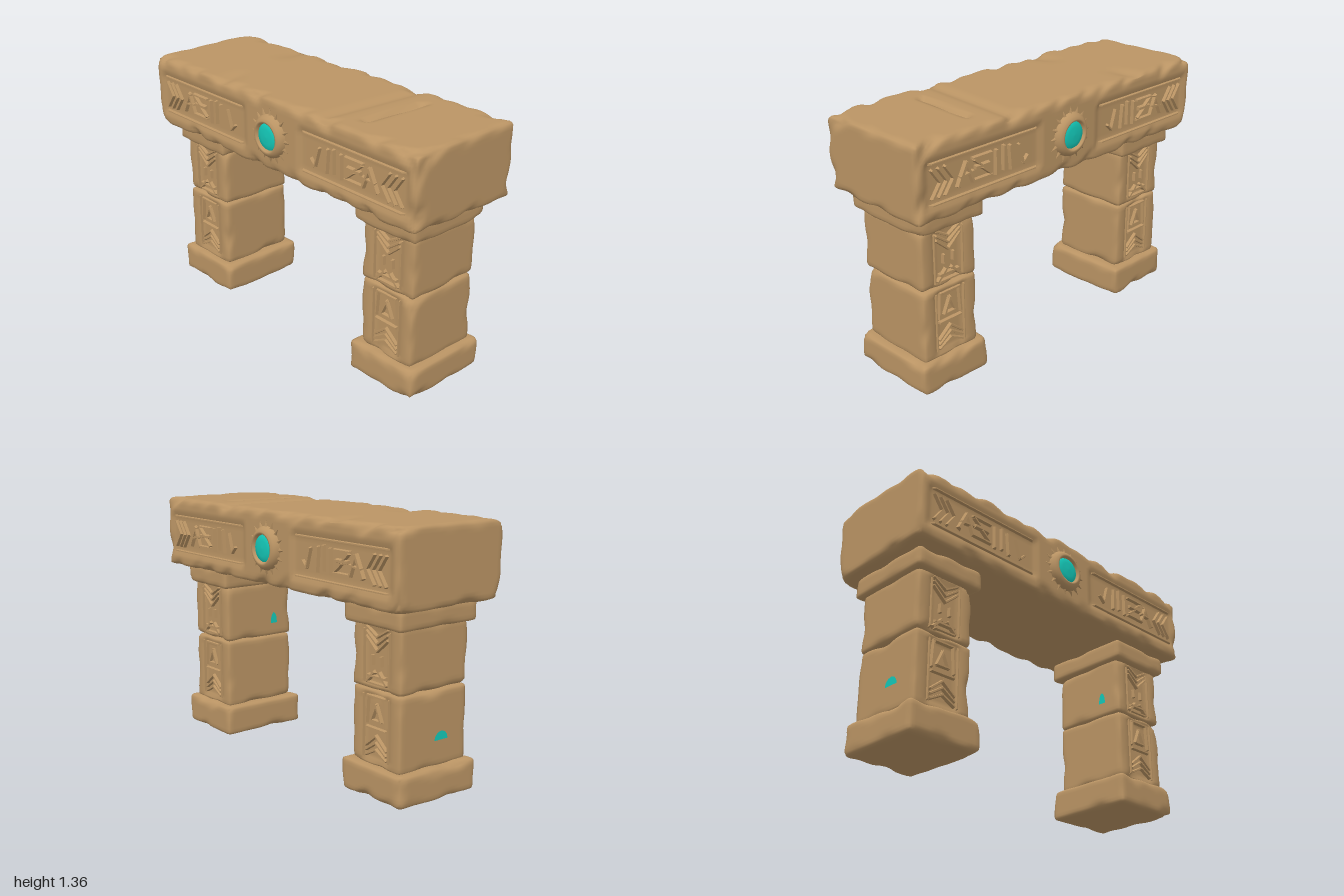
import * as THREE from 'three';
import { mergeGeometries, mergeVertices } from 'three/addons/utils/BufferGeometryUtils.js';

const stone = new THREE.MeshStandardMaterial({ color: 0xba9464 });
stone.name = 'sandstone';
const teal = new THREE.MeshStandardMaterial({ color: 0x14c8b8 });
teal.name = 'turquoise';

const CELL = 0.02;
const DEPTH = 0.014; // how far carved panels sink into the stone

function add(parent, geometry, material, name) {
  const mesh = new THREE.Mesh(geometry, material);
  mesh.name = name;
  parent.add(mesh);
  return mesh;
}

// Smooth repeatable noise in 0..1
function noise(x, y, z, seed) {
  const n = Math.sin(x * 11 + y * 7 + seed) + Math.sin(y * 19 - z * 9 + seed * 2.3)
    + Math.sin(z * 17 + x * 23 + seed * 1.7) + Math.sin(x * 37 + y * 31 + z * 29 + seed * 3.1);
  return THREE.MathUtils.clamp(0.5 + n / 6, 0, 1);
}

const inside = (v, half) => THREE.MathUtils.smoothstep(half - Math.abs(v), -0.004, 0.014);

// Weathered block: edges rounded by a varying radius, with sunken panels front and back
// panels: [centre x, centre y, half width, half height] relative to the block
function wornBlock(size, seed, worn, panels = [], extra) {
  const [w, h, d] = size;
  let geo = new THREE.BoxGeometry(w, h, d, ...size.map((s) => Math.ceil(s / CELL)));
  geo.deleteAttribute('uv');
  geo.deleteAttribute('normal');
  geo = mergeVertices(geo, 1e-4);
  const half = new THREE.Vector3(w / 2, h / 2, d / 2);
  const p = new THREE.Vector3(), core = new THREE.Vector3(), lim = new THREE.Vector3();
  const pos = geo.attributes.position;
  for (let i = 0; i < pos.count; i++) {
    p.fromBufferAttribute(pos, i);
    const face = Math.abs(p.z) > half.z - 1e-4 ? Math.sign(p.z) : 0;
    const top = p.y > half.y - 1e-4;
    const n = noise(p.x, p.y, p.z, seed);
    const r = worn[0] + (worn[1] - worn[0]) * n * n;
    lim.copy(half).subScalar(r);
    core.copy(p).clamp(lim.clone().negate(), lim);
    p.sub(core).setLength(r).add(core);
    if (face) {
      for (const [cx, cy, hw, hh] of panels) {
        p.z -= face * DEPTH * inside(p.x * face - cx, hw) * inside(p.y - cy, hh);
      }
    }
    if (extra) extra(p, top);
    pos.setXYZ(i, p.x, p.y, p.z);
  }
  geo.computeVertexNormals();
  return geo;
}

// Raised carved stroke between two points, narrowing toward its face
function stroke([x1, y1, x2, y2, width = 0.016]) {
  const length = Math.hypot(x2 - x1, y2 - y1);
  const geo = new THREE.BoxGeometry(length + width * 0.6, width, DEPTH + 0.008);
  const pos = geo.attributes.position;
  for (let i = 0; i < pos.count; i++) {
    if (pos.getZ(i) > 0) {
      pos.setY(i, pos.getY(i) * 0.5);
      pos.setX(i, pos.getX(i) * 0.94);
    }
  }
  geo.computeVertexNormals();
  geo.rotateZ(Math.atan2(y2 - y1, x2 - x1));
  geo.translate((x1 + x2) / 2, (y1 + y2) / 2, -DEPTH / 2);
  return geo;
}

const strokes = (list) => mergeGeometries(list.map(stroke));

// Nested sideways chevrons, bird, zigzag and pillar signs for the left half of the lintel
const lintelSigns = [];
for (const x of [-0.91, -0.87, -0.83]) {
  lintelSigns.push([x, 1.22, x + 0.05, 1.15], [x + 0.05, 1.15, x, 1.08]);
}
lintelSigns.push(
  [-0.75, 1.10, -0.70, 1.20, 0.03], [-0.70, 1.20, -0.66, 1.10, 0.022], [-0.74, 1.14, -0.66, 1.15],
  [-0.66, 1.21, -0.54, 1.21], [-0.64, 1.16, -0.56, 1.16, 0.026], [-0.66, 1.10, -0.54, 1.10],
  [-0.65, 1.20, -0.60, 1.16], [-0.60, 1.15, -0.55, 1.11],
  [-0.51, 1.09, -0.51, 1.21, 0.022], [-0.46, 1.10, -0.46, 1.22, 0.02], [-0.41, 1.09, -0.42, 1.21, 0.022],
  [-0.36, 1.20, -0.33, 1.10], [-0.33, 1.10, -0.30, 1.13],
  [-0.93, 1.252, -0.23, 1.252, 0.012], [-0.93, 1.05, -0.23, 1.05, 0.012],
);

// Signs on a pillar face, x measured from the pillar centre
const pillarSigns = [];
for (const y of [0, 0.035, 0.07]) {
  for (const s of [-1, 1]) {
    pillarSigns.push([s * 0.075, 0.80 + y * 0.7, 0, 0.735 + y], [s * 0.075, 0.205 + y * 0.7, 0, 0.245 + y]);
  }
}
for (const s of [-1, 1]) {
  pillarSigns.push(
    [s * 0.03, 0.67, s * 0.03, 0.71, 0.018], [s * 0.07, 0.58, s * 0.02, 0.63, 0.022],
    [s * 0.07, 0.37, s * 0.06, 0.51, 0.016], [s * 0.035, 0.39, 0, 0.47, 0.02],
    [s * 0.09, 0.57, s * 0.09, 0.84, 0.01], [s * 0.09, 0.19, s * 0.09, 0.52, 0.01],
  );
}
pillarSigns.push([-0.06, 0.61, 0.06, 0.61, 0.02], [-0.06, 0.575, 0.06, 0.575], [-0.065, 0.51, 0.065, 0.51],
  [-0.035, 0.39, 0.035, 0.39], [-0.07, 0.35, 0.07, 0.35]);

// Sun medallion with a domed gem, facing +z
function createMedallion() {
  const group = new THREE.Group();
  group.name = 'sunMedallion';
  const lathe = (points) => new THREE.LatheGeometry(points.map(([r, z]) => new THREE.Vector2(r, z)), 40).rotateX(Math.PI / 2);
  add(group, lathe([[0.118, -0.02], [0.112, 0.012], [0.1, 0.026], [0.086, 0.036], [0.076, 0.034], [0.07, 0.015]]), stone, 'medallionRing');
  add(group, lathe([[0.073, 0.014], [0.066, 0.024], [0.04, 0.029], [0, 0.031]]), teal, 'gem');
  const rays = [];
  for (let i = 0; i < 16; i++) {
    const ray = new THREE.ConeGeometry(0.013, 0.042, 4);
    ray.translate(0, 0.126, 0).rotateZ((i / 16) * Math.PI * 2);
    rays.push(ray);
  }
  add(group, mergeGeometries(rays), stone, 'sunRays');
  return group;
}

// All carvings of one face; used for the front and, turned round, for the back
function createCarvings() {
  const group = new THREE.Group();
  group.name = 'carvings';
  for (const s of [-1, 1]) {
    const signs = lintelSigns.map(([x1, y1, x2, y2, w]) => [-s * x1, y1, -s * x2, y2, w]);
    add(group, strokes(signs), stone, 'lintelSigns').position.z = 0.335;
    add(group, strokes(pillarSigns), stone, 'pillarSigns').position.set(s * 0.7275, 0, 0.22);
  }
  const medallion = createMedallion();
  medallion.position.set(0, 1.16, 0.337);
  group.add(medallion);
  return group;
}

// Cracks and chipped ledges across the top of the lintel
function crackTop(p, top) {
  if (!top) return;
  const gauss = (v, s) => Math.exp(-(v * v) / (s * s));
  const along = inside(p.z, 0.2);
  p.y -= 0.03 * along * gauss(p.x - 0.54 + p.z * 0.06, 0.016);
  p.y -= 0.014 * gauss(p.x - 0.38 + p.z * 0.08, 0.035);
  p.y -= 0.016 * gauss(p.x + 0.47 - p.z * 0.2, 0.05) * THREE.MathUtils.smoothstep(Math.abs(p.z), 0.1, 0.3);
}

export function createModel() {
  const model = new THREE.Group();
  model.name = 'stoneGateway';

  // Lintel
  const lintelPanels = [-1, 1].map((s) => [s * 0.58, -0.01, 0.37, 0.115]);
  add(model, wornBlock([2, 0.39, 0.67], 3, [0.012, 0.085], lintelPanels, crackTop), stone, 'lintel').position.y = 1.16;

  // Pillars, each with a base, two shaft blocks and a capital
  for (const s of [-1, 1]) {
    const pillar = new THREE.Group();
    pillar.name = s > 0 ? 'leftPillar' : 'rightPillar';
    pillar.position.x = s * 0.7275;
    const seed = 5 + s * 2;
    add(pillar, wornBlock([0.43, 0.165, 0.51], seed, [0.015, 0.065]), stone, 'base').position.y = 0.0825;
    add(pillar, wornBlock([0.345, 0.39, 0.44], seed + 4, [0.012, 0.055], [[0, 0, 0.1, 0.175]]), stone, 'lowerShaft').position.y = 0.35;
    add(pillar, wornBlock([0.345, 0.33, 0.44], seed + 8, [0.012, 0.055], [[0, 0, 0.1, 0.15]]), stone, 'upperShaft').position.y = 0.71;
    add(pillar, wornBlock([0.405, 0.11, 0.51], seed + 12, [0.012, 0.045]), stone, 'capital').position.y = 0.915;
    // Turquoise chip on the face toward -x
    const chip = new THREE.CircleGeometry(0.045, 6, 0, Math.PI);
    if (s > 0) chip.scale(0.5, 1.4, 1);
    const patch = add(pillar, chip.rotateY(-Math.PI / 2), teal, 'turquoiseChip');
    patch.position.set(-0.1755, s > 0 ? 0.62 : 0.29, s > 0 ? 0.1 : 0.05);
    model.add(pillar);
  }

  // Carvings on both long faces
  const front = createCarvings();
  const back = createCarvings();
  back.rotation.y = Math.PI;
  model.add(front, back);
  return model;
}
